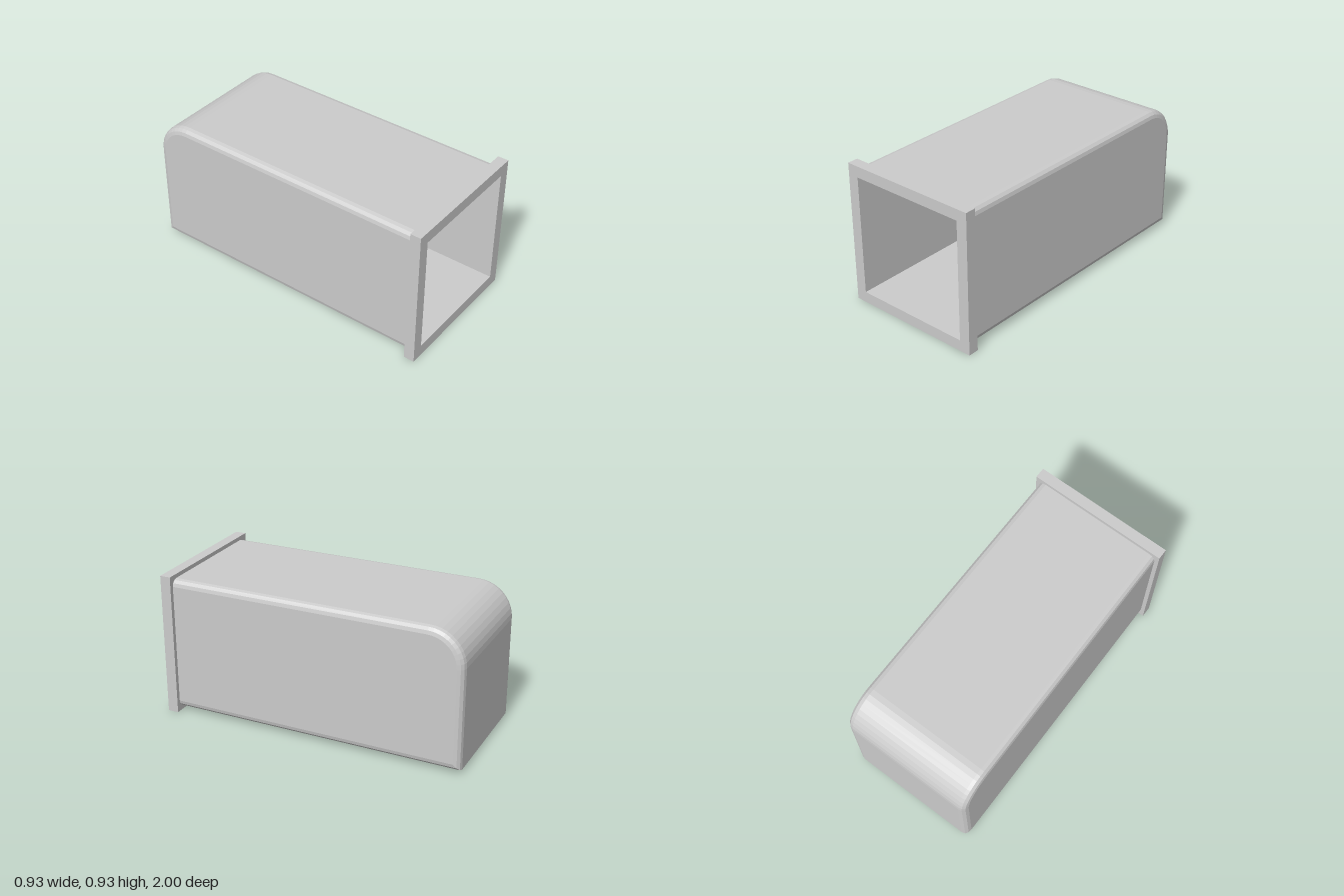
import * as THREE from 'three';

const grey = (side = THREE.FrontSide) =>
  new THREE.MeshStandardMaterial({ color: 0xcccccc, flatShading: true, side });

const MID = 0.468; // height of the central axis

// Remove every triangle lying wholly in front of z = limit
function openFront(geometry, limit) {
  const geo = geometry.index ? geometry.toNonIndexed() : geometry;
  const p = geo.attributes.position;
  const kept = [];
  for (let i = 0; i < p.count; i += 3) {
    if (Math.min(p.getZ(i), p.getZ(i + 1), p.getZ(i + 2)) > limit) continue;
    for (let j = i; j < i + 3; j++) kept.push(p.getX(j), p.getY(j), p.getZ(j));
  }
  const out = new THREE.BufferGeometry();
  out.setAttribute('position', new THREE.Float32BufferAttribute(kept, 3));
  out.computeVertexNormals();
  return out;
}

// Outer shell: side profile with a rounded upper back, extruded across the width
function bodyGeometry() {
  const half = 0.444, bottom = 0.025, top = 0.913, front = -0.985, back = 1;
  const r = 0.23, bevel = 0.045;
  const profile = new THREE.Shape();
  profile.moveTo(front, bottom);
  profile.lineTo(back, bottom);
  profile.lineTo(back, top - r);
  profile.absarc(back - r, top - r, r, 0, Math.PI / 2, false);
  profile.lineTo(front, top);
  profile.closePath();
  const geo = new THREE.ExtrudeGeometry(profile, {
    depth: 2 * (half - bevel), curveSegments: 5,
    bevelThickness: bevel, bevelSize: bevel, bevelOffset: -bevel, bevelSegments: 3,
  });
  geo.translate(0, 0, bevel - half);
  geo.rotateY(Math.PI / 2);

  // Slight draft: a little narrower towards the front
  const p = geo.attributes.position;
  for (let i = 0; i < p.count; i++) {
    const s = 1 - 0.005 * (1 + p.getZ(i));
    p.setX(i, p.getX(i) * s);
    p.setY(i, MID + (p.getY(i) - MID) * s);
  }
  return openFront(geo, 0.932);
}

// Square flange around the mouth
function flangeGeometry() {
  const square = (target, h) => {
    target.moveTo(-h, -h);
    target.lineTo(h, -h);
    target.lineTo(h, h);
    target.lineTo(-h, h);
    target.closePath();
    return target;
  };
  const shape = square(new THREE.Shape(), 0.467);
  shape.holes.push(square(new THREE.Path(), 0.394));
  const geo = new THREE.ExtrudeGeometry(shape, { depth: 0.07, bevelEnabled: false });
  return geo.translate(0, MID, 0.93);
}

// Inner walls, floor, ceiling and back wall
function cavityGeometry() {
  const front = 0.94, back = -0.9;
  const geo = new THREE.BoxGeometry(0.788, 0.788, front - back);
  geo.translate(0, MID, (front + back) / 2);
  return openFront(geo, 0.92);
}

export function createModel() {
  const group = new THREE.Group();
  group.name = 'squareSleeve';
  const add = (name, geometry, material) => {
    const mesh = new THREE.Mesh(geometry, material);
    mesh.name = name;
    group.add(mesh);
  };
  add('outerBody', bodyGeometry(), grey());
  add('frontFlange', flangeGeometry(), grey());
  add('innerCavity', cavityGeometry(), grey(THREE.BackSide));
  return group;
}
